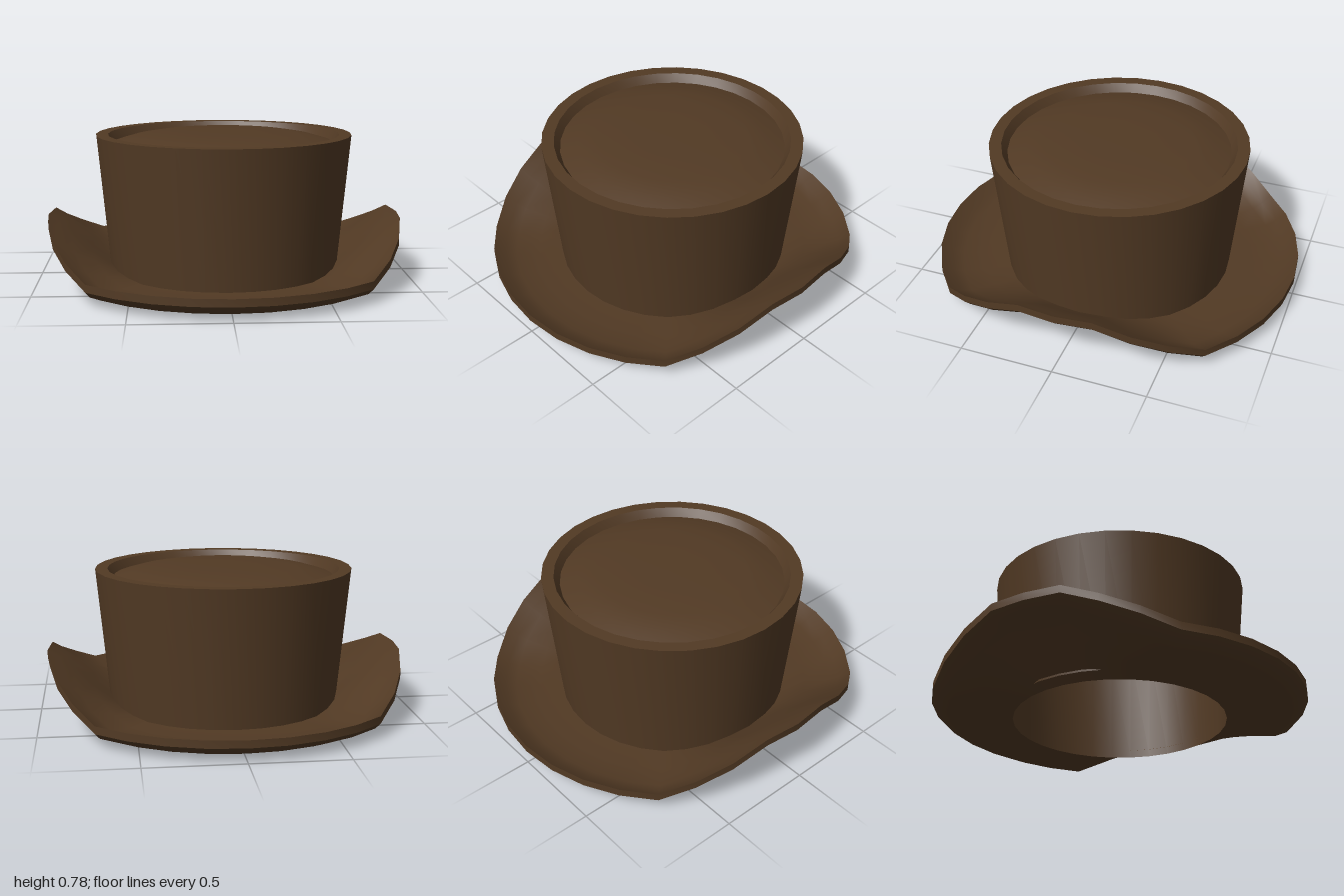
import * as THREE from 'three';
import { toCreasedNormals } from 'three/addons/utils/BufferGeometryUtils.js';

const SIDES = 32;
const felt = new THREE.MeshStandardMaterial({ color: 0x523a24 });

function lathe(points) {
  return new THREE.LatheGeometry(points.map(([r, y]) => new THREE.Vector2(r, y)), SIDES);
}

function addMesh(group, name, geometry) {
  const mesh = new THREE.Mesh(toCreasedNormals(geometry, 0.7), felt);
  mesh.name = name;
  group.add(mesh);
}

// Curl the left and right of the brim upward and slightly inward
function curlSides(geometry) {
  const pos = geometry.attributes.position;
  for (let i = 0; i < pos.count; i++) {
    const x = pos.getX(i), z = pos.getZ(i);
    const angle = THREE.MathUtils.radToDeg(Math.atan2(Math.abs(x), Math.abs(z)));
    const around = THREE.MathUtils.clamp((angle - 45) / 33.75, 0, 1);
    const outward = THREE.MathUtils.clamp((Math.hypot(x, z) - 0.57) / 0.33, 0, 1);
    const lift = 0.215 * around * outward;
    pos.setY(i, pos.getY(i) + lift);
    pos.setX(i, x - Math.sign(x) * 0.2 * lift);
  }
  return geometry;
}

export function createModel() {
  const hat = new THREE.Group();
  hat.name = 'hat';

  // Flared crown wall with a raised lip around the top
  addMesh(hat, 'crown', lathe([
    [0.62, 0.03], [0.69, 0.77], [0.625, 0.77], [0.595, 0.725],
  ]));

  // Gently domed top set inside the lip
  addMesh(hat, 'crownTop', lathe([
    [0.595, 0.725], [0.5, 0.753], [0.4, 0.77], [0.2, 0.776], [0, 0.778],
  ]));

  // Hollow inside, open at the bottom
  addMesh(hat, 'crownLining', lathe([[0, 0.68], [0.61, 0.68], [0.57, 0]]));

  // Thin dished brim with an upturned edge
  addMesh(hat, 'brim', curlSides(lathe([
    [0.57, 0], [0.68, 0.004], [0.8, 0.008], [0.9, 0.015], [0.97, 0.045], [1, 0.075],
    [1, 0.115], [0.94, 0.075], [0.88, 0.052], [0.75, 0.045], [0.62, 0.042], [0.57, 0.042],
  ])));

  return hat;
}
